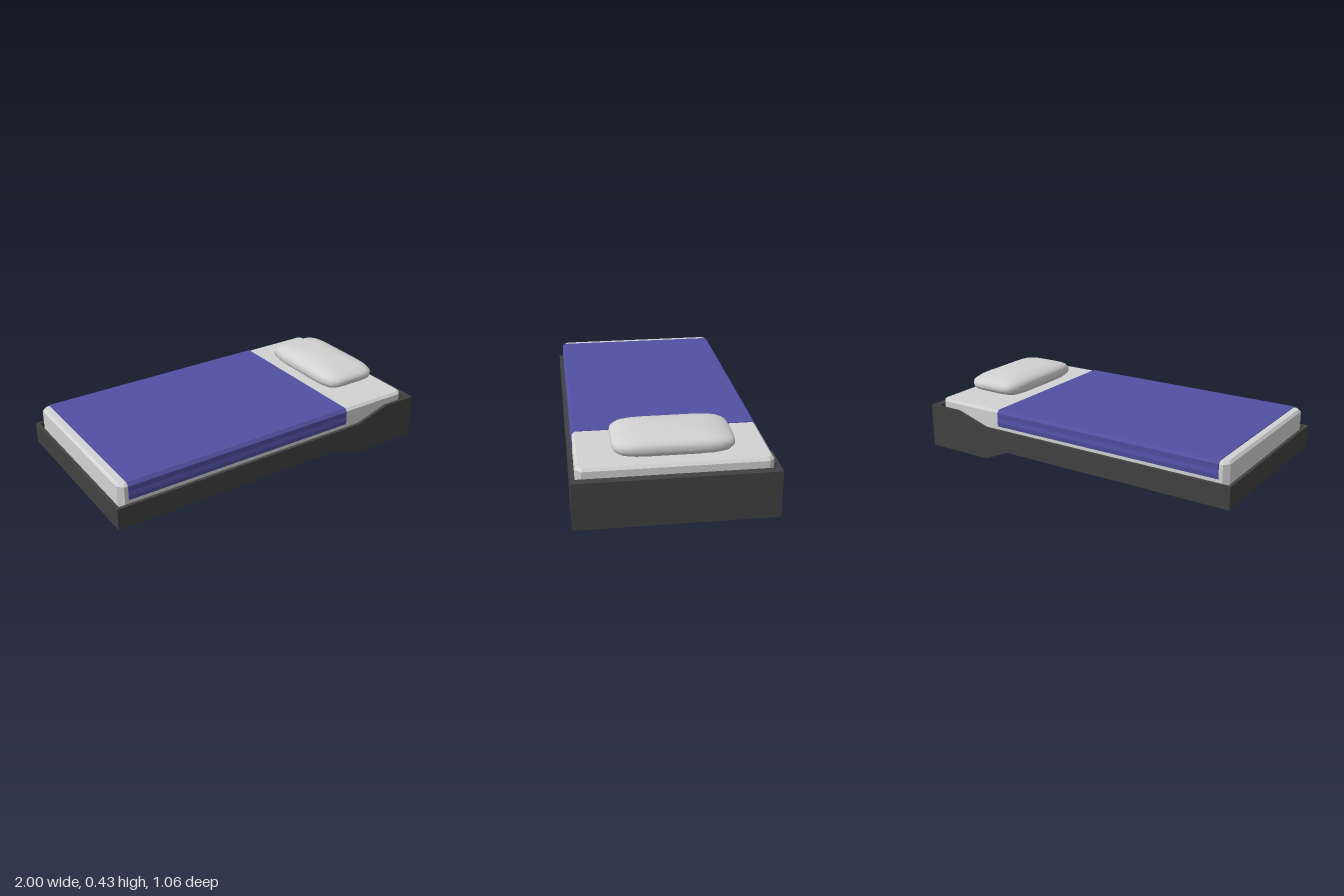
import * as THREE from 'three';
import { mergeVertices } from 'three/addons/utils/BufferGeometryUtils.js';

const frameMat = new THREE.MeshStandardMaterial({ color: 0x414141 });
frameMat.name = 'dark frame';
const linenMat = new THREE.MeshStandardMaterial({ color: 0xd2d2d2 });
linenMat.name = 'pale linen';
const blanketMat = new THREE.MeshStandardMaterial({ color: 0x5050a2 });
blanketMat.name = 'blue blanket';

const shapeOf = (points) => new THREE.Shape(points.map(([x, y]) => new THREE.Vector2(x, y)));

// Extrudes a profile along z between z0 and z1
function slab(points, z0, z1) {
  const g = new THREE.ExtrudeGeometry(shapeOf(points), { depth: z1 - z0, bevelEnabled: false });
  return g.translate(0, 0, z0);
}

function add(parent, name, geometry, material) {
  const mesh = new THREE.Mesh(geometry, material);
  mesh.name = name;
  parent.add(mesh);
  return mesh;
}

// Shallow tray with a thicker head end
function createFrame() {
  const frame = new THREE.Group();
  frame.name = 'bedFrame';
  const under = [[-1, 0.07], [0.42, 0.07], [0.58, 0], [1, 0]];
  const side = [...under, [1, 0.26], [0.79, 0.26], [0.58, 0.195], [-1, 0.195]];
  const base = [...under, [1, 0.15], [-1, 0.15]];
  const W = 0.53, inner = 0.512;
  add(frame, 'frameBase', slab(base, -inner, inner), frameMat);
  add(frame, 'leftRail', slab(side, inner, W), frameMat);
  add(frame, 'rightRail', slab(side, -W, -inner), frameMat);
  add(frame, 'headRim', slab([[0.955, 0.15], [1, 0.15], [1, 0.26], [0.955, 0.26]], -inner, inner), frameMat);
  add(frame, 'footRim', slab([[-1, 0.15], [-0.982, 0.15], [-0.982, 0.195], [-1, 0.195]], -inner, inner), frameMat);
  return frame;
}

// Box with chamfered corners and a chamfered top edge
function mattressGeometry() {
  const bevel = 0.014, cut = 0.02;
  const a = 0.955 - bevel, b = 0.502 - bevel;
  const outline = [[-a + cut, -b], [a - cut, -b], [a, -b + cut], [a, b - cut],
    [a - cut, b], [-a + cut, b], [-a, b - cut], [-a, -b + cut]];
  const g = new THREE.ExtrudeGeometry(shapeOf(outline), {
    depth: 0.127, bevelEnabled: true, bevelSegments: 1, bevelSize: bevel, bevelThickness: bevel,
  });
  return g.rotateX(-Math.PI / 2).translate(-0.015, 0.164, 0);
}

// Cover that drapes over both long sides with shallow folds
function blanketGeometry() {
  const half = [[0.505, 0.21], [0.508, 0.235], [0.504, 0.26], [0.506, 0.291], [0.491, 0.309]];
  const mirrored = half.map(([z, y]) => [-z, y]).reverse();
  const g = slab([...half, ...mirrored], -0.5, 0.92);
  return g.rotateY(-Math.PI / 2);
}

// Squarish cushion: a sphere pushed out to a superellipsoid
function pillowGeometry() {
  const sphere = new THREE.SphereGeometry(1, 40, 24);
  sphere.deleteAttribute('uv');
  sphere.deleteAttribute('normal');
  const g = mergeVertices(sphere, 1e-4);
  const p = g.attributes.position;
  const plan = 6, rise = 2.6;
  for (let i = 0; i < p.count; i++) {
    const x = p.getX(i), y = p.getY(i), z = p.getZ(i);
    const flat = (Math.abs(x) ** plan + Math.abs(z) ** plan) ** (rise / plan);
    const s = 1 / (flat + Math.abs(y) ** rise) ** (1 / rise);
    p.setXYZ(i, x * s * 0.178, y * s * 0.064, z * s * 0.316);
  }
  g.computeVertexNormals();
  return g;
}

export function createModel() {
  const bed = new THREE.Group();
  bed.name = 'bed';
  bed.add(createFrame());
  add(bed, 'mattress', mattressGeometry(), linenMat);
  add(bed, 'blanket', blanketGeometry(), blanketMat);
  const pillow = add(bed, 'pillow', pillowGeometry(), linenMat);
  pillow.position.set(0.715, 0.361, -0.003);
  return bed;
}
